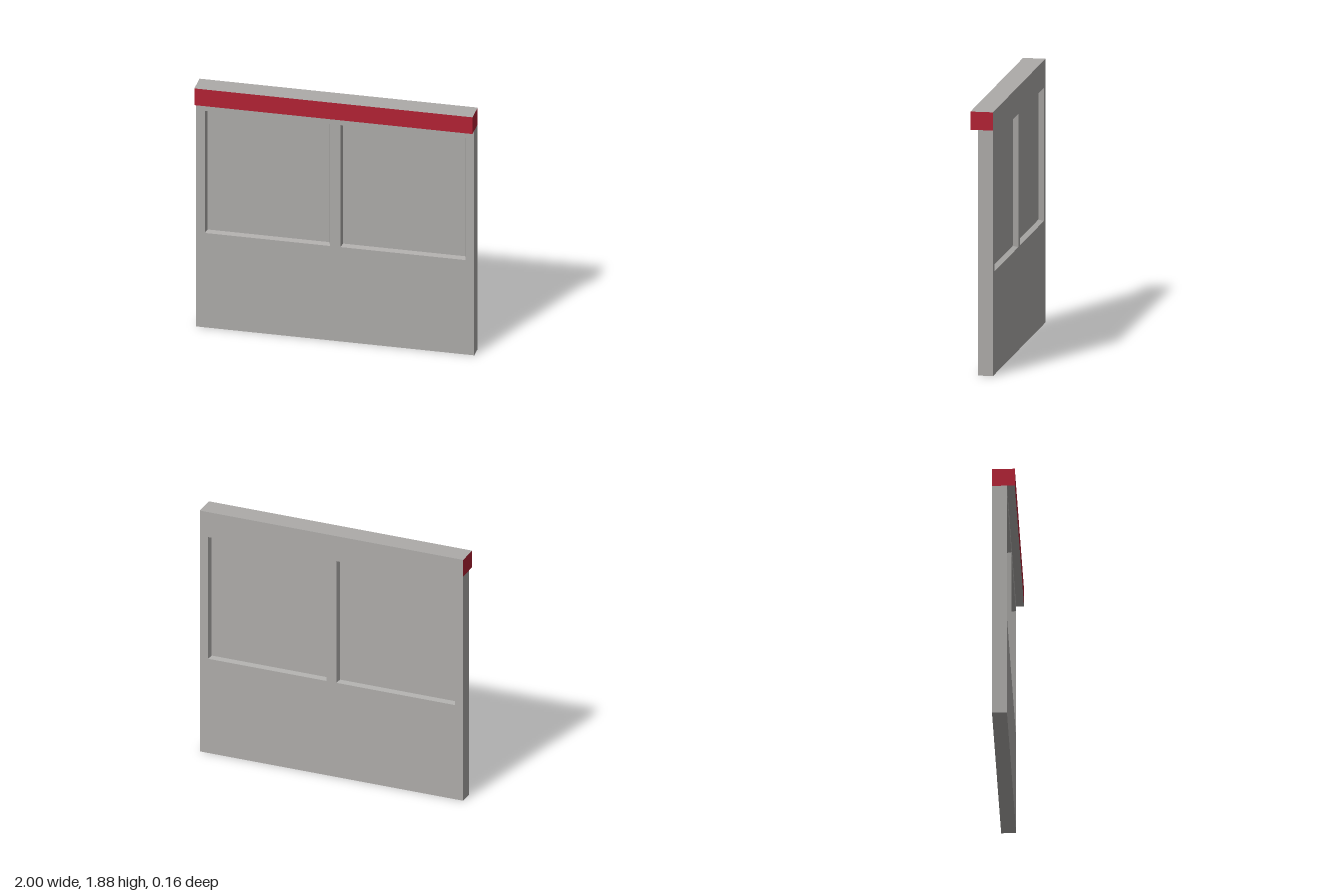
import * as THREE from 'three';

const BACK = -0.08, FRONT = 0.025, LIP = 0.08;   // depth planes
const WALL_TOP = 1.75, TOP = 1.88;
const RECESS = 0.037, TAPER = 0.011;             // sloped panel recesses
const PANELS = [-0.4875, 0.4875].map(x => ({ x, y: 1.21, w: 0.9, h: 0.95 }));

// Rectangle corners, anticlockwise from the front
function corners({ x, y, w, h }, z, inset = 0) {
  const a = w / 2 - inset, b = h / 2 - inset;
  return [[-a, -b], [a, -b], [a, b], [-a, b]].map(([u, v]) => new THREE.Vector3(x + u, y + v, z));
}

function quads(list) {
  const pts = list.flatMap(([a, b, c, d]) => [a, b, c, a, c, d]);
  const geometry = new THREE.BufferGeometry().setFromPoints(pts);
  geometry.computeVertexNormals();
  return geometry;
}

export function createModel() {
  const group = new THREE.Group();
  const grey = new THREE.MeshStandardMaterial({ name: 'wall grey', color: 0xadaba9 });
  const red = new THREE.MeshStandardMaterial({ name: 'trim red', color: 0xb22234 });
  const add = (name, geometry, material) => {
    const mesh = new THREE.Mesh(geometry, material);
    mesh.name = name;
    group.add(mesh);
    return mesh;
  };

  // Wall faces with two openings each
  const outline = new THREE.Shape([[-1, 0], [1, 0], [1, WALL_TOP], [-1, WALL_TOP]].map(p => new THREE.Vector2(...p)));
  for (const p of PANELS) {
    outline.holes.push(new THREE.Path(corners(p, 0).reverse().map(v => new THREE.Vector2(v.x, v.y))));
  }
  add('wallFront', new THREE.ShapeGeometry(outline), grey).position.z = FRONT;
  const back = add('wallBack', new THREE.ShapeGeometry(outline), grey);
  back.rotation.y = Math.PI;
  back.position.z = BACK;

  // Wall edges: underside and both ends
  const wall = { x: 0, y: WALL_TOP / 2, w: 2, h: WALL_TOP };
  const f = corners(wall, FRONT), b = corners(wall, BACK);
  add('wallEdges', quads([0, 1, 3].map(i => {
    const j = (i + 1) % 4;
    return [f[i], b[i], b[j], f[j]];
  })), grey);

  // Recessed panels with sloped sides, on the front and the back
  for (const p of PANELS) {
    for (const [side, z, dir] of [['front', FRONT, -1], ['back', BACK, 1]]) {
      const outer = corners(p, z), inner = corners(p, z + dir * RECESS, TAPER);
      const faces = outer.map((v, i) => {
        const j = (i + 1) % 4;
        return [v, outer[j], inner[j], inner[i]];
      });
      faces.push(inner);
      if (side === 'back') faces.forEach((q, i) => { faces[i] = [...q].reverse(); });
      add(side + 'Panel', quads(faces), grey);
    }
  }

  // Top rail: red front and ends, grey elsewhere
  const rail = add('topRail', new THREE.BoxGeometry(2, TOP - WALL_TOP, LIP - BACK),
    [red, red, grey, grey, red, grey]);
  rail.position.set(0, (TOP + WALL_TOP) / 2, (LIP + BACK) / 2);

  return group;
}
